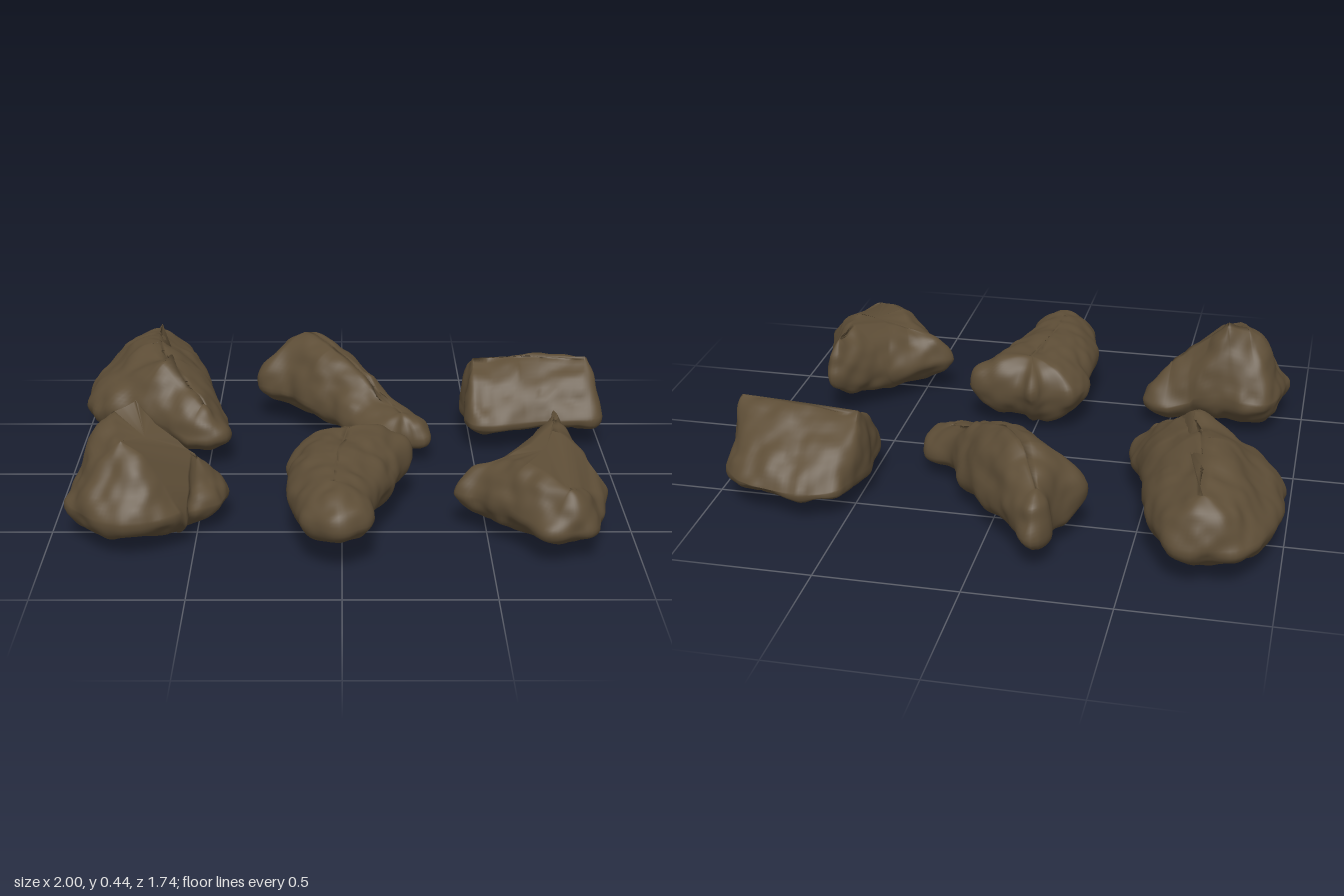
import * as THREE from 'three';

const SIDES = 120, RINGS = 18;
const { lerp, clamp, smoothstep } = THREE.MathUtils;

// nearest point to p, seen from above, on a crest line of [x, y, z] points
function nearestOnCrest(p, crest) {
  let best = null, bestD = Infinity;
  for (let i = 0; i < crest.length - 1; i++) {
    const a = new THREE.Vector3(...crest[i]), b = new THREE.Vector3(...crest[i + 1]);
    const dx = b.x - a.x, dz = b.z - a.z;
    const u = clamp(((p.x - a.x) * dx + (p.z - a.z) * dz) / (dx * dx + dz * dz), 0, 1);
    const q = a.lerp(b, u), d = Math.hypot(q.x - p.x, q.z - p.z);
    if (d < bestD) { bestD = d; best = q; }
  }
  return best;
}

// smooth lattice noise from -1 to 1
function noise(x, y, z) {
  const cell = [x, y, z].map(Math.floor);
  const [u, v, w] = [x, y, z].map((n, i) => smoothstep(n - cell[i], 0, 1));
  const corner = (i, j, k) => {
    const s = Math.sin((cell[0] + i) * 127.1 + (cell[1] + j) * 311.7 + (cell[2] + k) * 74.7) * 43758.5453;
    return 2 * (s - Math.floor(s)) - 1;
  };
  const edge = (j, k) => lerp(corner(0, j, k), corner(1, j, k), u);
  return lerp(lerp(edge(0, 0), edge(1, 0), v), lerp(edge(0, 1), edge(1, 1), v), w);
}

// outline: widest contour as [x, z], clockwise from above; waist: its height between base and top
// topP / baseP: 1 gives sloped sides, larger is boxier
function rockGeometry({ outline, waist, top, base, topP, baseP }) {
  const curve = new THREE.CatmullRomCurve3(outline.map(([x, z]) => new THREE.Vector3(x, 0, z)), true, 'centripetal');
  const rim = curve.getSpacedPoints(SIDES).slice(0, SIDES).map((p) => {
    const high = nearestOnCrest(p, top), low = nearestOnCrest(p, base);
    return { p, high, low, y: lerp(low.y, high.y, waist) };
  });
  const points = [], index = [];

  // rings run from the base crest, out to the outline, and in to the top crest
  for (let k = -RINGS; k <= RINGS; k++) {
    const t = Math.pow(Math.abs(k) / RINGS, 1.5);
    const power = k < 0 ? baseP : topP;
    const rise = Math.pow(1 - Math.pow(1 - t, power), 1 / power);
    for (const { p, high, low, y } of rim) {
      const c = k < 0 ? low : high;
      points.push(new THREE.Vector3(lerp(p.x, c.x, t), lerp(y, c.y, rise), lerp(p.z, c.z, t)));
    }
  }
  for (let k = 0; k < 2 * RINGS; k++) {
    for (let i = 0; i < SIDES; i++) {
      const j = (i + 1) % SIDES;
      const a = k * SIDES + i, b = k * SIDES + j, c = a + SIDES, d = b + SIDES;
      index.push(a, c, b, b, c, d);
    }
  }

  // close the space inside each crest with a fan
  const lastRing = 2 * RINGS * SIDES;
  for (const start of [0, lastRing]) {
    const middle = new THREE.Vector3();
    for (let i = 0; i < SIDES; i++) middle.addScaledVector(points[start + i], 1 / SIDES);
    const m = points.push(middle) - 1;
    for (let i = 0; i < SIDES; i++) {
      const a = start + i, b = start + (i + 1) % SIDES;
      if (start === 0) index.push(a, b, m);
      else index.push(a, m, b);
    }
  }

  // push the surface in and out along its normals
  const geometry = new THREE.BufferGeometry().setFromPoints(points);
  geometry.setIndex(index);
  geometry.computeVertexNormals();
  const position = geometry.attributes.position, normal = new THREE.Vector3();
  points.forEach((p, i) => {
    normal.fromBufferAttribute(geometry.attributes.normal, i);
    const lump = 0.018 * noise(p.x * 9, p.y * 9, p.z * 9) + 0.007 * noise(p.x * 22, p.y * 22, p.z * 22);
    p.addScaledVector(normal, lump);
    position.setXYZ(i, p.x, Math.max(0, p.y), p.z);
  });
  geometry.computeVertexNormals();
  return geometry;
}

export function createModel() {
  const group = new THREE.Group();
  group.name = 'rockSet';
  const stone = new THREE.MeshStandardMaterial({ color: 0x5e4e37 });
  stone.name = 'brownStone';

  function addRock(name, shape) {
    const mesh = new THREE.Mesh(rockGeometry(shape), stone);
    mesh.name = name;
    group.add(mesh);
  }

  // back row
  addRock('longRidgedRock', {
    outline: [[-0.91, -0.81], [-0.79, -0.865], [-0.65, -0.85], [-0.57, -0.7], [-0.5, -0.42],
      [-0.44, -0.06], [-0.53, -0.035], [-0.68, -0.11], [-0.93, -0.26], [-0.995, -0.4]],
    waist: 0.38, topP: 1.45, baseP: 1.8,
    top: [[-0.74, 0.33, -0.77], [-0.72, 0.355, -0.45], [-0.66, 0.355, -0.25], [-0.52, 0.23, -0.12]],
    base: [[-0.75, 0.05, -0.7], [-0.77, 0.01, -0.42], [-0.6, 0.05, -0.18]],
  });
  addRock('slantedSlabRock', {
    outline: [[-0.2, -0.85], [-0.13, -0.78], [0.1, -0.5], [0.2, -0.34], [0.31, -0.23], [0.315, -0.1], [0.24, -0.1],
      [0.18, -0.055], [0.1, -0.05], [0.05, -0.18], [-0.2, -0.43], [-0.33, -0.54], [-0.24, -0.7], [-0.24, -0.78]],
    waist: 0.35, topP: 1.8, baseP: 2,
    top: [[-0.2, 0.27, -0.75], [-0.13, 0.35, -0.6], [-0.03, 0.345, -0.45], [0.12, 0.24, -0.28], [0.22, 0.18, -0.17]],
    base: [[-0.2, 0.06, -0.66], [0.2, 0.04, -0.17]],
  });
  addRock('wedgeRock', {
    outline: [[0.48, -0.5], [0.53, -0.65], [0.65, -0.695], [0.8, -0.685], [0.9, -0.64],
      [0.98, -0.38], [0.98, -0.235], [0.72, -0.21], [0.49, -0.2]],
    waist: 0.22, topP: 1.25, baseP: 2.5,
    top: [[0.51, 0.32, -0.4], [0.73, 0.32, -0.42], [0.94, 0.325, -0.38]],
    base: [[0.58, 0.06, -0.42], [0.87, 0.075, -0.42]],
  });

  // front row
  addRock('peakedRock', {
    outline: [[-0.9, 0.29], [-0.8, 0.26], [-0.7, 0.295], [-0.48, 0.3], [-0.41, 0.35], [-0.41, 0.47],
      [-0.51, 0.55], [-0.53, 0.64], [-0.66, 0.73], [-0.83, 0.7], [-0.93, 0.57]],
    waist: 0.35, topP: 1.25, baseP: 1.8,
    top: [[-0.74, 0.37, 0.56], [-0.78, 0.41, 0.4], [-0.71, 0.435, 0.37], [-0.62, 0.35, 0.41], [-0.5, 0.25, 0.41]],
    base: [[-0.8, 0.015, 0.5], [-0.6, 0.02, 0.46]],
  });
  addRock('taperedBlockRock', {
    outline: [[-0.2, 0.25], [-0.16, 0.17], [-0.05, 0.16], [-0.01, 0.125], [0.04, 0.16], [0.24, 0.19], [0.2, 0.38],
      [0.12, 0.65], [0.07, 0.82], [-0.02, 0.86], [-0.12, 0.79], [-0.17, 0.6], [-0.18, 0.4]],
    waist: 0.52, topP: 1.9, baseP: 1.7,
    top: [[0.02, 0.3, 0.25], [-0.02, 0.3, 0.48], [-0.03, 0.28, 0.69]],
    base: [[0.02, 0.03, 0.28], [-0.02, 0.06, 0.64]],
  });
  addRock('pointedRock', {
    outline: [[0.38, 0.48], [0.46, 0.41], [0.58, 0.32], [0.78, 0.115], [0.81, 0.23], [0.87, 0.42],
      [0.9, 0.6], [0.82, 0.77], [0.7, 0.79], [0.6, 0.7], [0.48, 0.57]],
    waist: 0.4, topP: 1.5, baseP: 1.8,
    top: [[0.76, 0.33, 0.19], [0.73, 0.33, 0.4], [0.57, 0.28, 0.46], [0.63, 0.31, 0.58], [0.75, 0.26, 0.72]],
    base: [[0.55, 0.05, 0.48], [0.75, 0.04, 0.6]],
  });
  return group;
}
